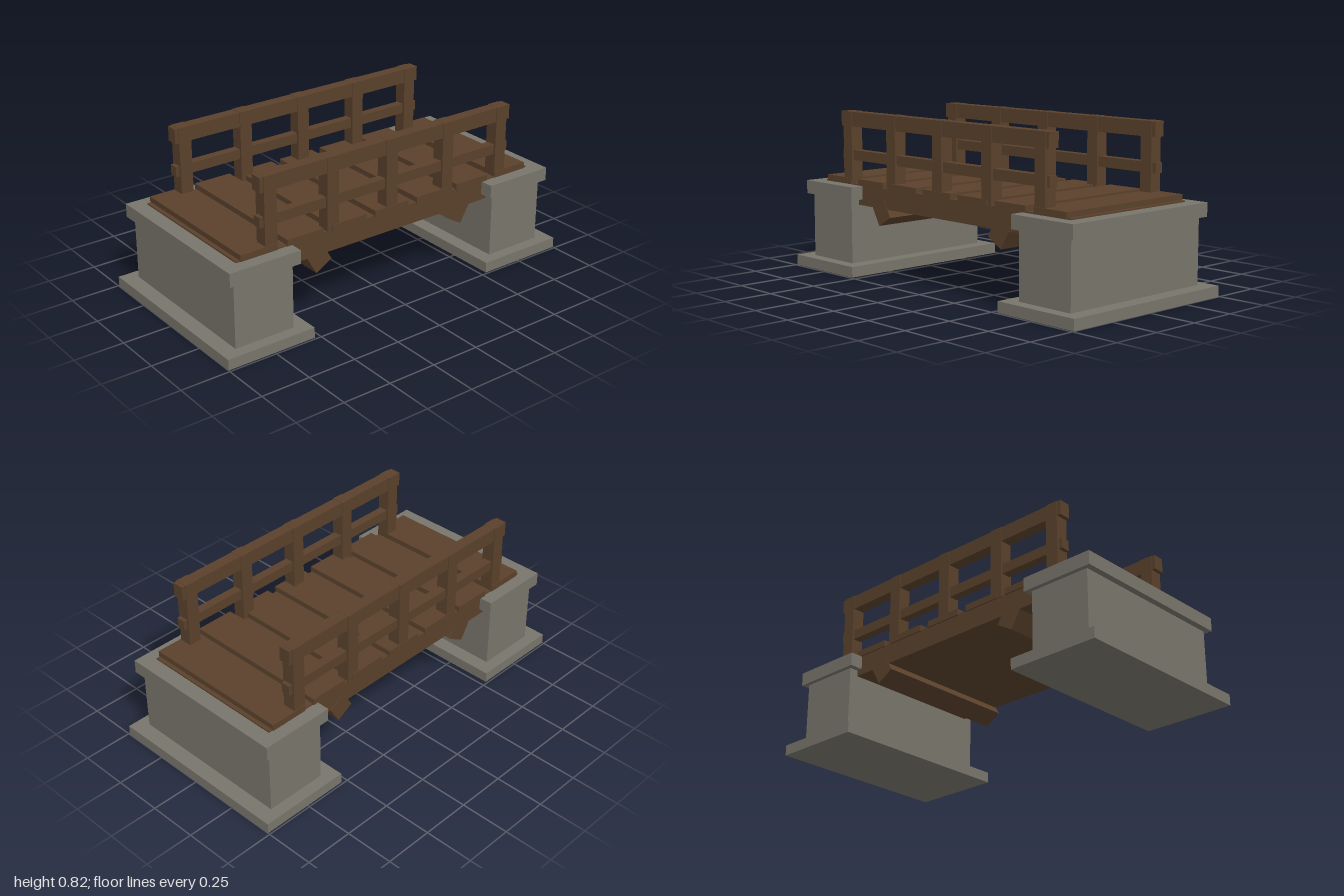
import * as THREE from 'three';

const stone = new THREE.MeshStandardMaterial({ color: 0x78756b });
stone.name = 'stone';
const wood = new THREE.MeshStandardMaterial({ color: 0x5a412b });
wood.name = 'wood';

// Box given by its limits on each axis
function box(name, material, [x0, x1], [y0, y1], [z0, z1]) {
  const mesh = new THREE.Mesh(new THREE.BoxGeometry(x1 - x0, y1 - y0, z1 - z0), material);
  mesh.position.set((x0 + x1) / 2, (y0 + y1) / 2, (z0 + z1) / 2);
  mesh.name = name;
  return mesh;
}

// Stone pier with a footing and a cap
function abutment(side) {
  const group = new THREE.Group();
  group.name = side > 0 ? 'leftAbutment' : 'rightAbutment';
  const span = (a, b) => (side > 0 ? [a, b] : [-b, -a]);
  group.add(
    box('footing', stone, span(0.53, 1), [0, 0.054], [-0.49, 0.49]),
    box('pierWall', stone, span(0.605, 0.922), [0.054, 0.38], [-0.43, 0.43]),
    box('pierCap', stone, span(0.575, 0.953), [0.38, 0.448], [-0.452, 0.452]),
  );
  return group;
}

// Railing with five posts and two rails
function railing(side) {
  const group = new THREE.Group();
  group.name = side > 0 ? 'frontRailing' : 'backRailing';
  const span = (a, b) => (side > 0 ? [a, b] : [-b, -a]);
  for (let i = -2; i <= 2; i++) {
    const x = i * 0.3435;
    group.add(box('post', wood, [x - 0.033, x + 0.033], [0.45, 0.819], span(0.319, 0.386)));
  }
  group.add(
    box('topRail', wood, [-0.74, 0.74], [0.744, 0.818], span(0.323, 0.382)),
    box('middleRail', wood, [-0.74, 0.74], [0.573, 0.624], span(0.33, 0.375)),
  );
  return group;
}

export function createModel() {
  const model = new THREE.Group();
  model.name = 'footbridge';

  // Deck slab with seven spaced boards
  model.add(box('deck', wood, [-0.875, 0.875], [0.35, 0.455], [-0.383, 0.383]));
  for (let i = -3; i <= 3; i++) {
    const x = i * 0.2515;
    model.add(box('deckBoard', wood, [x - 0.1, x + 0.1], [0.45, 0.482], [-0.39, 0.39]));
  }

  for (const side of [-1, 1]) {
    model.add(abutment(side), railing(side));
    // Tilted cross beam under the deck
    const beam = box('crossBeam', wood, [-0.05, 0.05], [-0.05, 0.05], [-0.385, 0.385]);
    beam.position.set(side * 0.422, 0.33, 0);
    beam.rotation.z = -side * Math.PI / 6;
    model.add(beam);
  }
  return model;
}
